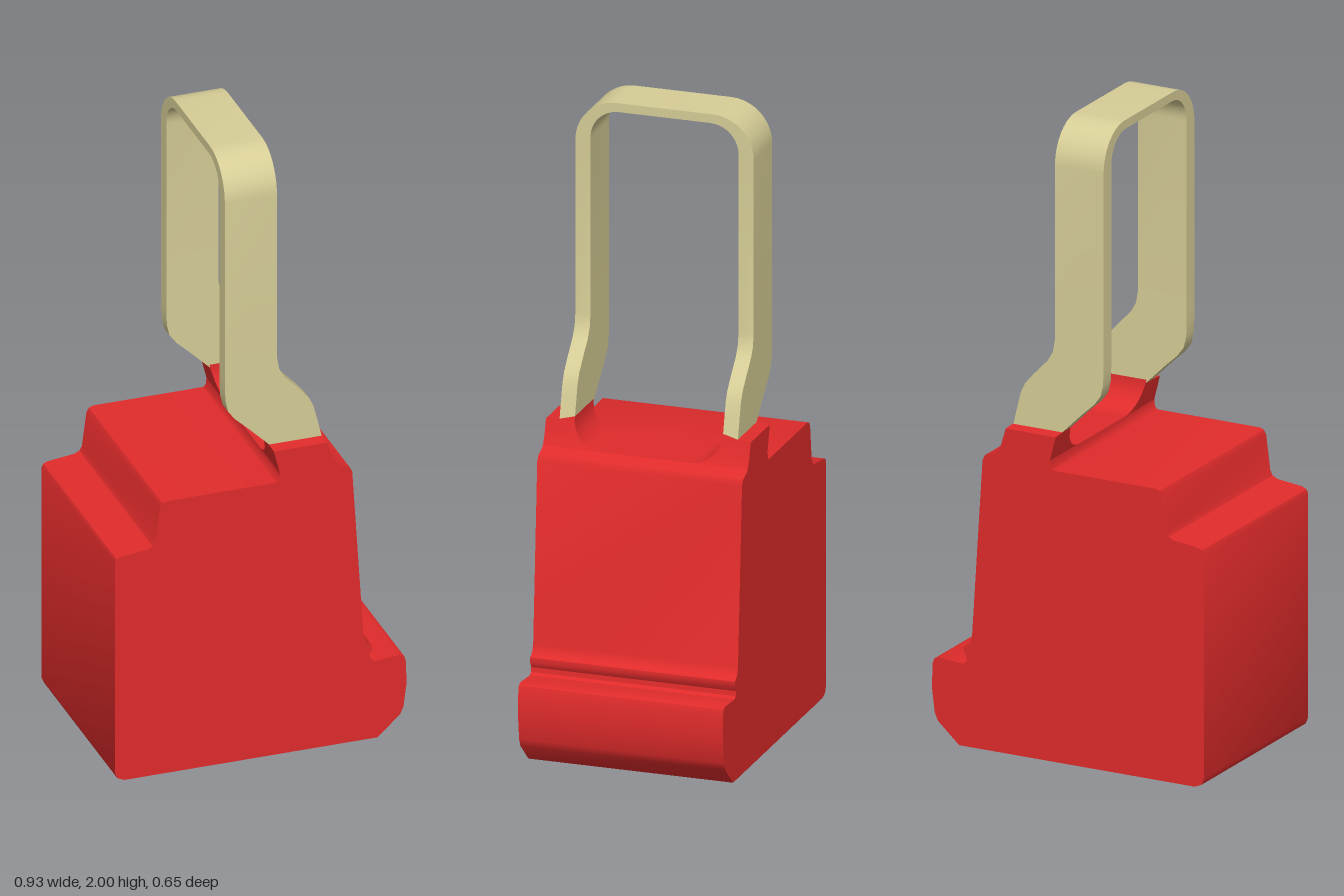
import * as THREE from 'three';
import { toCreasedNormals } from 'three/addons/utils/BufferGeometryUtils.js';

const red = new THREE.MeshStandardMaterial({ color: 0xe02b2b });
const beige = new THREE.MeshStandardMaterial({ color: 0xd6cd96 });
const DEPTH = 0.65;

// Skin a list of equal-length closed sections and cap both ends.
function loft(sections) {
  const n = sections[0].length, last = (sections.length - 1) * n, index = [];
  for (let s = 0; s < sections.length - 1; s++) {
    for (let i = 0; i < n; i++) {
      const a = s * n + i, b = s * n + (i + 1) % n;
      index.push(a, b, b + n, a, b + n, a + n);
    }
  }
  for (let i = 1; i < n - 1; i++) {
    index.push(0, i + 1, i, last, last + i, last + i + 1);
  }
  const geometry = new THREE.BufferGeometry();
  geometry.setAttribute('position', new THREE.Float32BufferAttribute(sections.flat(2), 3));
  geometry.setIndex(index);
  return toCreasedNormals(geometry, 0.6);
}

function part(name, geometry, material) {
  const mesh = new THREE.Mesh(geometry, material);
  mesh.name = name;
  return mesh;
}

// Block with stepped back, sloping face and lipped foot.
function bodyGeometry() {
  const profile = [
    [-0.465, 0.03], [-0.457, 0.01], [-0.435, 0], [0.37, 0], [0.442, 0.065], [0.453, 0.09],
    [0.463, 0.17], [0.46, 0.245], [0.455, 0.26], [0.44, 0.266], [0.358, 0.26], [0.346, 0.267],
    [0.344, 0.282], [0.354, 0.3], [0.353, 0.315], [0.335, 0.328], [0.326, 0.35],
    [0.29, 0.915], [0.281, 0.932], [0.25, 0.943], [0.24, 0.95],
    [0.06, 0.95], [0.058, 0.93], [0.05, 0.92], [-0.3, 0.92], [-0.314, 0.915], [-0.322, 0.9],
    [-0.336, 0.79], [-0.344, 0.775], [-0.36, 0.767], [-0.445, 0.757], [-0.459, 0.751], [-0.465, 0.738],
  ];
  const shape = new THREE.Shape(profile.map(([x, y]) => new THREE.Vector2(x, y)));
  const geometry = new THREE.ExtrudeGeometry(shape, { depth: DEPTH, bevelEnabled: false });
  return toCreasedNormals(geometry.translate(0, 0, -DEPTH / 2), 0.6);
}

// Raised shoulder at one end, with a concave curve facing the middle.
function shoulderGeometry(side) {
  const stations = [];
  for (let i = 0; i <= 10; i++) {
    const a = i / 10 * Math.PI / 2;
    stations.push([0.145 + 0.09 * Math.sin(a), 0.95 + 0.092 * (1 - Math.cos(a))]);
  }
  stations.push([0.283, 1.03], [DEPTH / 2, 1.027]);
  const section = ([z, h]) => {
    const mid = Math.min(0.97, h);
    const right = y => y < 0.97 ? 0.24 - (y - 0.95) * 0.6 : 0.228 - (y - 0.97) * 0.3;
    return [[0.06, 0.95], [0.24, 0.95], [right(mid), mid], [right(h), h], [0.06 - (h - 0.95) * 0.25, h]]
      .map(([x, y]) => [x, y, z * side]);
  };
  const sections = stations.map(section);
  return loft(side > 0 ? sections : sections.reverse());
}

// Flat strap loop: cranked legs joined by a rounded top.
function strapGeometry() {
  // y, left edge, right edge
  const edges = [
    [1.02, 0.048, 0.21], [1.03, 0.041, 0.208], [1.1, -0.03, 0.191], [1.135, -0.068, 0.182],
    [1.165, -0.09, 0.168], [1.2, -0.098, 0.138], [1.25, -0.1, 0.09], [1.28, -0.1, 0.073], [1.32, -0.1, 0.066],
  ];
  const section = (xl, xr, outer, inner) => [
    [xl, outer[1], outer[0]], [xr, outer[1], outer[0]], [xr, inner[1], inner[0]], [xl, inner[1], inner[0]],
  ];
  const half = edges.map(([y, l, r]) => section(l, r, [0.283, y], [0.235, y]));
  for (let i = 0; i <= 10; i++) {
    const a = i / 10 * Math.PI / 2, c = Math.cos(a), s = Math.sin(a);
    half.push(section(-0.1, 0.066,
      [0.153 + 0.13 * c, 1.87 + 0.13 * s], [0.145 + 0.09 * c, 1.882 + 0.09 * s]));
  }
  const mirrored = half.map(sec => sec.map(([x, y, z]) => [x, y, -z])).reverse();
  return loft([...half, ...mirrored]);
}

export function createModel() {
  const model = new THREE.Group();
  model.name = 'strapBlock';
  model.add(part('body', bodyGeometry(), red));
  model.add(part('leftShoulder', shoulderGeometry(1), red));
  model.add(part('rightShoulder', shoulderGeometry(-1), red));
  model.add(part('strap', strapGeometry(), beige));
  return model;
}
